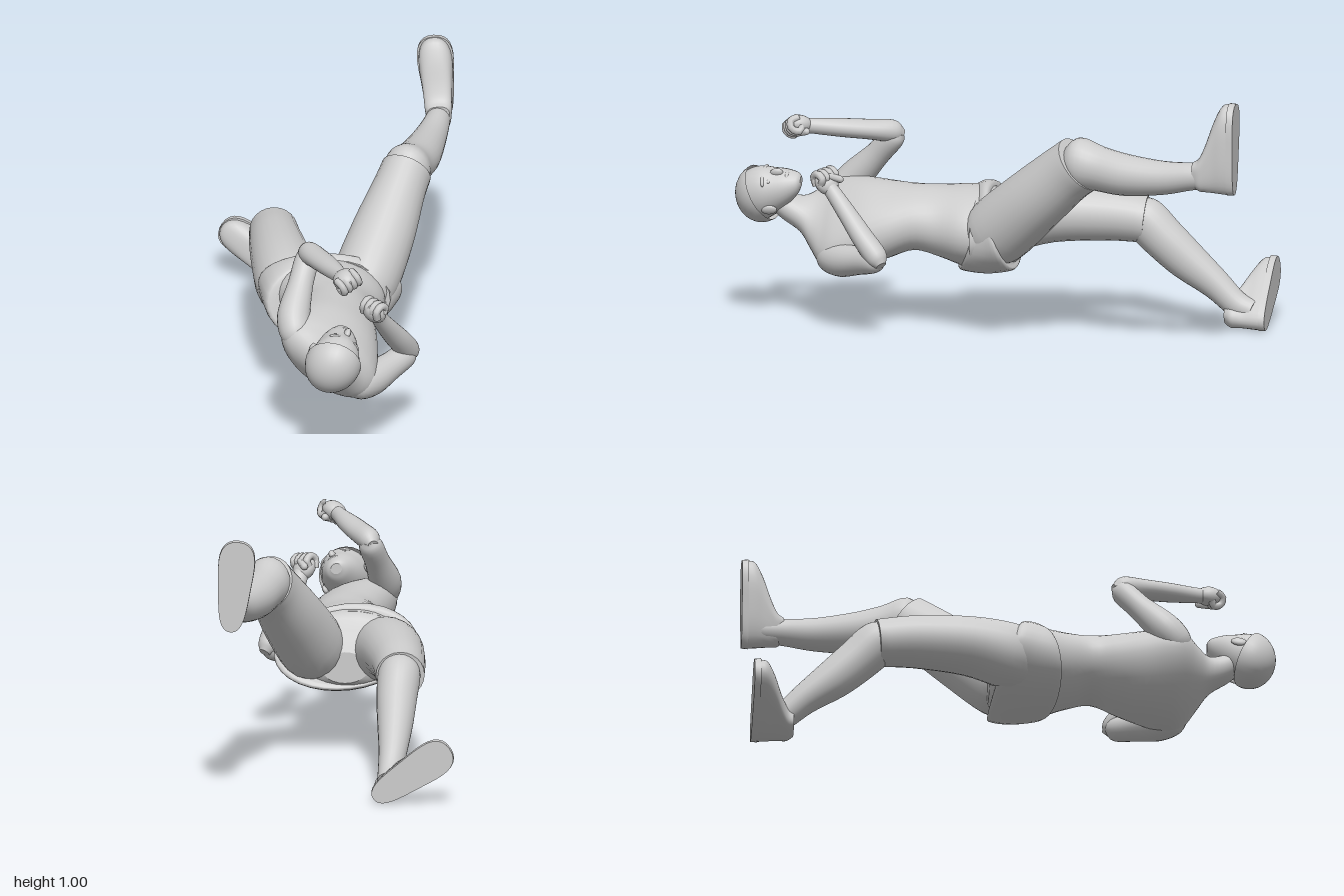
import * as THREE from 'three';

const V = (x, y, z) => new THREE.Vector3(x, y, z);
const material = new THREE.MeshStandardMaterial({ color: 0xcccccc });

function part(parent, name, geometry, pos = [0, 0, 0], scale = [1, 1, 1], rot = [0, 0, 0]) {
  const m = new THREE.Mesh(geometry, material);
  m.name = name;
  m.position.set(...pos);
  m.scale.set(...scale);
  m.rotation.set(...rot);
  parent.add(m);
  return m;
}

// Smooth closed skin through rings { c: centre, u, v: half axes };
// taper widens the +v side like a shoe print, power below 1 squares the outline
function loft(rings, sub = 4, seg = 24, taper = 0, power = 1) {
  const curve = k => new THREE.CatmullRomCurve3(rings.map(r => r[k]), false, 'catmullrom', 0.5);
  const [C, U, W] = ['c', 'u', 'v'].map(curve);
  const n = (rings.length - 1) * sub;
  const pos = [], index = [];
  const along = rings.at(-1).c.clone().sub(rings[0].c);
  const flip = U.getPoint(0.5).cross(W.getPoint(0.5)).dot(along) < 0;
  const tri = (a, b, c) => (flip ? index.push(a, c, b) : index.push(a, b, c));
  const bend = x => Math.sign(x) * Math.abs(x) ** power;
  const ring = t => {
    const c = C.getPoint(t), u = U.getPoint(t), w = W.getPoint(t);
    for (let j = 0; j < seg; j++) {
      const a = (j / seg) * Math.PI * 2, s = bend(Math.sin(a));
      const wide = bend(Math.cos(a)) * (1 + taper * (s + 1.2 * s * s));
      const p = c.clone().addScaledVector(u, wide).addScaledVector(w, s);
      pos.push(p.x, p.y, p.z);
    }
  };
  for (let i = 0; i <= n; i++) ring(i / n);
  for (let i = 0; i < n; i++) for (let j = 0; j < seg; j++) {
    const k = (j + 1) % seg, a = i * seg, b = a + seg;
    tri(a + j, a + k, b + k);
    tri(a + j, b + k, b + j);
  }
  // Separate cap vertices keep the end edges sharp
  for (const t of [0, 1]) {
    const base = pos.length / 3;
    ring(t);
    pos.push(...C.getPoint(t).toArray());
    for (let j = 0; j < seg; j++) {
      const k = (j + 1) % seg;
      if (t) tri(base + j, base + k, base + seg);
      else tri(base + k, base + j, base + seg);
    }
  }
  const g = new THREE.BufferGeometry();
  g.setAttribute('position', new THREE.Float32BufferAttribute(pos, 3));
  g.setIndex(index);
  g.computeVertexNormals();
  return g;
}

// Level rings: [x, y, z, half width, half depth, yaw]
const level = rows => rows.map(([x, y, z, a, b, yaw = 0]) => ({
  c: V(x, y, z),
  u: V(Math.cos(yaw), Math.sin(yaw), 0).multiplyScalar(a),
  v: V(-Math.sin(yaw), Math.cos(yaw), 0).multiplyScalar(b),
}));

// Rings square to the path: [x, y, z, half width, half depth]
function limb(rows) {
  const p = rows.map(r => V(r[0], r[1], r[2]));
  return rows.map(([, , , a, b = a], i) => {
    const t = p[Math.min(i + 1, p.length - 1)].clone().sub(p[Math.max(i - 1, 0)]).normalize();
    const u = V(1, 0, 0).addScaledVector(t, -t.x).normalize();
    return { c: p[i], u: u.clone().multiplyScalar(a), v: t.cross(u).multiplyScalar(b) };
  });
}

// Clenched hand: local y runs on from the forearm
function fist(name, pos, dir, twist) {
  const g = new THREE.Group();
  g.name = name;
  part(g, 'palm', new THREE.SphereGeometry(1, 20, 14), [0, 0, 0.002], [0.046, 0.052, 0.037]);
  for (let i = 0; i < 4; i++) {
    const x = (i - 1.5) * 0.022;
    const path = new THREE.CatmullRomCurve3([
      V(x, 0.01, -0.018), V(x, 0.04, -0.002), V(x, 0.036, 0.027), V(x, 0.005, 0.035), V(x, -0.004, 0.015)]);
    part(g, 'finger', new THREE.TubeGeometry(path, 10, 0.0145, 8));
  }
  part(g, 'thumb', new THREE.CapsuleGeometry(0.014, 0.04, 4, 8), [0.02, -0.008, 0.036], [1, 1, 1], [0, 0, 0.9]);
  g.position.set(...pos);
  g.quaternion.setFromUnitVectors(V(0, 1, 0), V(...dir).normalize());
  g.rotateY(twist);
  return g;
}

// Shoe: local y points to the toe, sole at z = -1
function shoe(name, x, y, yaw) {
  const g = new THREE.Group();
  g.name = name;
  part(g, 'sole', loft(level([[0, 0, -1, 0.062, 0.174], [0, 0, -0.975, 0.063, 0.176]]), 1, 36, 0.28, 0.88));
  part(g, 'upper', loft(level([
    [0, 0, -0.978, 0.061, 0.174], [0, -0.004, -0.948, 0.06, 0.168], [0, -0.032, -0.918, 0.054, 0.137],
    [0, -0.075, -0.888, 0.05, 0.092], [0, -0.1, -0.864, 0.048, 0.064], [0, -0.1, -0.84, 0.04, 0.046]]), 4, 36, 0.2, 0.9));
  g.position.set(x, y, 0);
  g.rotation.z = yaw;
  return g;
}

function makeHead() {
  const g = new THREE.Group();
  g.name = 'head';
  part(g, 'skull', loft(level([
    [0, 0.066, -0.139, 0.022, 0.02], [0, 0.056, -0.124, 0.045, 0.042], [0, 0.034, -0.08, 0.07, 0.072],
    [0, 0.012, -0.03, 0.085, 0.095], [0, 0, 0.02, 0.094, 0.11], [0, 0, 0.075, 0.08, 0.088],
    [0, 0, 0.108, 0.038, 0.045]])));
  const cap = new THREE.SphereGeometry(1, 28, 18, 0, Math.PI * 2, 0, Math.PI * 0.52);
  cap.rotateX(2.15).scale(0.105, 0.117, 0.1);
  part(g, 'hair', cap, [0, 0, 0.02]).material = new THREE.MeshStandardMaterial({ color: 0xcccccc, side: THREE.DoubleSide });
  const ball = new THREE.SphereGeometry(1, 14, 10);
  part(g, 'nose', ball, [0, 0.104, -0.048], [0.013, 0.02, 0.026], [0.25, 0, 0]);
  part(g, 'lips', ball, [0, 0.098, -0.088], [0.024, 0.009, 0.009]);
  for (const s of [-1, 1]) {
    part(g, 'eye', ball, [s * 0.034, 0.092, -0.022], [0.015, 0.007, 0.008]);
    part(g, 'brow', ball, [s * 0.037, 0.094, 0.002], [0.028, 0.01, 0.008], [0, s * 0.15, -s * 0.35]);
    part(g, 'ear', ball, [s * 0.09, -0.005, -0.025], [0.011, 0.02, 0.031], [0.2, 0, 0]);
  }
  g.position.set(0.037, 0.49, 0.88);
  g.rotation.z = -0.5;
  return g;
}

export function createModel() {
  const root = new THREE.Group();
  root.name = 'fighter';

  // Twisted trunk from hips to neck
  part(root, 'torso', loft(level([
    [-0.01, 0.39, 0, 0.22, 0.145, -0.08], [-0.005, 0.395, 0.1, 0.212, 0.15, -0.12],
    [0.01, 0.41, 0.2, 0.168, 0.13, -0.25], [0.03, 0.425, 0.3, 0.146, 0.115, -0.4],
    [0.03, 0.41, 0.4, 0.168, 0.125, -0.55], [0.022, 0.395, 0.5, 0.192, 0.132, -0.65],
    [0.012, 0.383, 0.6, 0.212, 0.118, -0.68], [0.008, 0.383, 0.655, 0.19, 0.096, -0.68],
    [0.012, 0.393, 0.7, 0.132, 0.077, -0.66], [0.022, 0.414, 0.748, 0.075, 0.062, -0.6],
    [0.03, 0.45, 0.82, 0.056, 0.056, -0.5], [0.037, 0.49, 0.87, 0.045, 0.045, -0.5]]), 4, 32));
  root.add(makeHead());

  // Shorts: seat and slanting waistband
  part(root, 'seat', loft(level([
    [0, 0.39, 0.06, 0.23, 0.15, -0.08], [0, 0.385, -0.015, 0.235, 0.143, -0.08],
    [0, 0.355, -0.06, 0.185, 0.1], [0, 0.335, -0.09, 0.09, 0.06]])));
  part(root, 'waistband', loft([
    { c: V(-0.008, 0.39, 0.113), u: V(0.195, -0.02, -0.043), v: V(0.01, 0.138, -0.035) },
    { c: V(-0.01, 0.388, 0.105), u: V(0.228, -0.02, -0.05), v: V(0.01, 0.157, -0.04) },
    { c: V(-0.004, 0.391, 0.04), u: V(0.256, -0.025, -0.04), v: V(0.01, 0.164, 0.005) },
    { c: V(0, 0.398, -0.025), u: V(0.27, -0.03, -0.025), v: V(0.02, 0.15, 0.05) },
    { c: V(0, 0.395, -0.03), u: V(0.22, -0.03, -0.02), v: V(0.02, 0.125, 0.045) }], 4, 32));

  // Legs: shorts leg with hem, then bare shin
  part(root, 'raisedThigh', loft(limb([
    [0.11, 0.355, 0.03, 0.1, 0.1], [0.13, 0.41, -0.035, 0.128, 0.132], [0.195, 0.545, -0.18, 0.122, 0.125],
    [0.25, 0.663, -0.31, 0.102, 0.114], [0.278, 0.716, -0.378, 0.097, 0.113]])));
  part(root, 'raisedShin', loft(limb([
    [0.262, 0.69, -0.33, 0.06], [0.278, 0.72, -0.38, 0.088, 0.098], [0.295, 0.706, -0.46, 0.081, 0.085],
    [0.325, 0.694, -0.57, 0.079, 0.079], [0.358, 0.698, -0.72, 0.062, 0.064],
    [0.382, 0.715, -0.84, 0.048, 0.052], [0.387, 0.72, -0.93, 0.044, 0.048]])));
  root.add(shoe('raisedShoe', 0.378, 0.825, 0.09));

  part(root, 'standingThigh', loft(limb([
    [-0.13, 0.385, 0.05, 0.1, 0.11], [-0.155, 0.395, -0.03, 0.125, 0.125], [-0.185, 0.415, -0.18, 0.118, 0.112],
    [-0.215, 0.412, -0.38, 0.102, 0.1], [-0.228, 0.397, -0.525, 0.092, 0.09]])));
  part(root, 'standingShin', loft(limb([
    [-0.225, 0.43, -0.46, 0.06], [-0.224, 0.4, -0.52, 0.08, 0.085], [-0.218, 0.325, -0.6, 0.077, 0.083],
    [-0.216, 0.245, -0.69, 0.068, 0.076], [-0.212, 0.16, -0.8, 0.054, 0.058],
    [-0.204, 0.09, -0.88, 0.046, 0.05], [-0.2, 0.065, -0.94, 0.043, 0.046]])));
  root.add(shoe('standingShoe', -0.291, 0.112, 0.98));

  // Guarding arm held high in front
  part(root, 'highUpperArm', loft(limb([
    [-0.1, 0.45, 0.645, 0.035], [-0.115, 0.485, 0.618, 0.058], [-0.122, 0.54, 0.567, 0.062],
    [-0.098, 0.63, 0.482, 0.048], [-0.075, 0.705, 0.415, 0.045], [-0.068, 0.73, 0.39, 0.022]])));
  part(root, 'highForearm', loft(limb([
    [-0.085, 0.712, 0.382, 0.02], [-0.07, 0.728, 0.415, 0.042], [-0.03, 0.74, 0.5, 0.047, 0.038],
    [0.015, 0.752, 0.6, 0.042, 0.035], [0.052, 0.762, 0.69, 0.03], [0.07, 0.767, 0.74, 0.028]])));
  root.add(fist('highFist', [0.076, 0.772, 0.75], [0.4, 0.1, 0.8], 0.9));

  // Guarding arm tucked by the chest
  part(root, 'lowUpperArm', loft(limb([
    [0.09, 0.295, 0.648, 0.035], [0.125, 0.278, 0.615, 0.06], [0.172, 0.276, 0.562, 0.064],
    [0.24, 0.292, 0.48, 0.053], [0.296, 0.308, 0.41, 0.046], [0.316, 0.315, 0.385, 0.022]])));
  part(root, 'lowForearm', loft(limb([
    [0.325, 0.296, 0.378, 0.02], [0.308, 0.324, 0.4, 0.042], [0.275, 0.39, 0.46, 0.046, 0.041],
    [0.238, 0.46, 0.52, 0.04, 0.036], [0.205, 0.53, 0.58, 0.031], [0.195, 0.56, 0.605, 0.029]])));
  root.add(fist('lowFist', [0.183, 0.575, 0.62], [-0.3, 0.65, 0.55], 2.4));

  return root;
}
